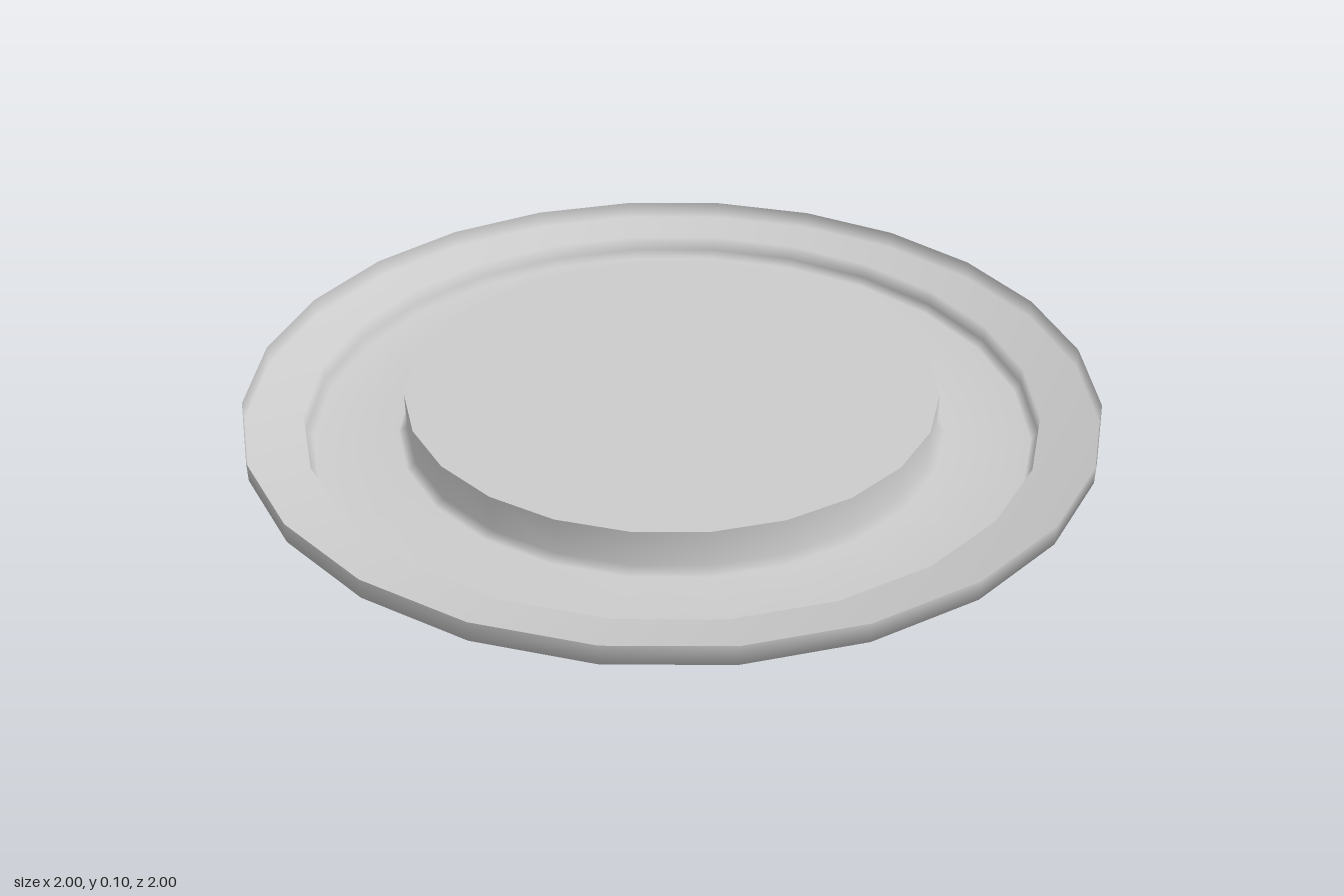
import * as THREE from 'three';

const SIDES = 24;

export function createModel() {
  const model = new THREE.Group();
  const material = new THREE.MeshStandardMaterial({ color: 0xcccccc, side: THREE.DoubleSide });

  // Thin pressed sheet: upright rim, flat flange, stepped trough, wall up to the centre
  const profile = [
    [1, 0.105], [1, 0.06],
    [0.865, 0.06], [0.865, 0.02], [0.85, 0],
    [0.65, 0], [0.63, 0.015], [0.63, 0.1],
  ].map(([r, y]) => new THREE.Vector2(r, y));
  const dish = new THREE.Mesh(new THREE.LatheGeometry(profile, SIDES), material);
  dish.name = 'rimAndTrough';
  model.add(dish);

  // Raised flat centre
  const disc = new THREE.Mesh(new THREE.CircleGeometry(0.63, SIDES), material);
  disc.name = 'raisedCentre';
  disc.rotation.x = -Math.PI / 2;
  disc.position.y = 0.1;
  model.add(disc);

  return model;
}
